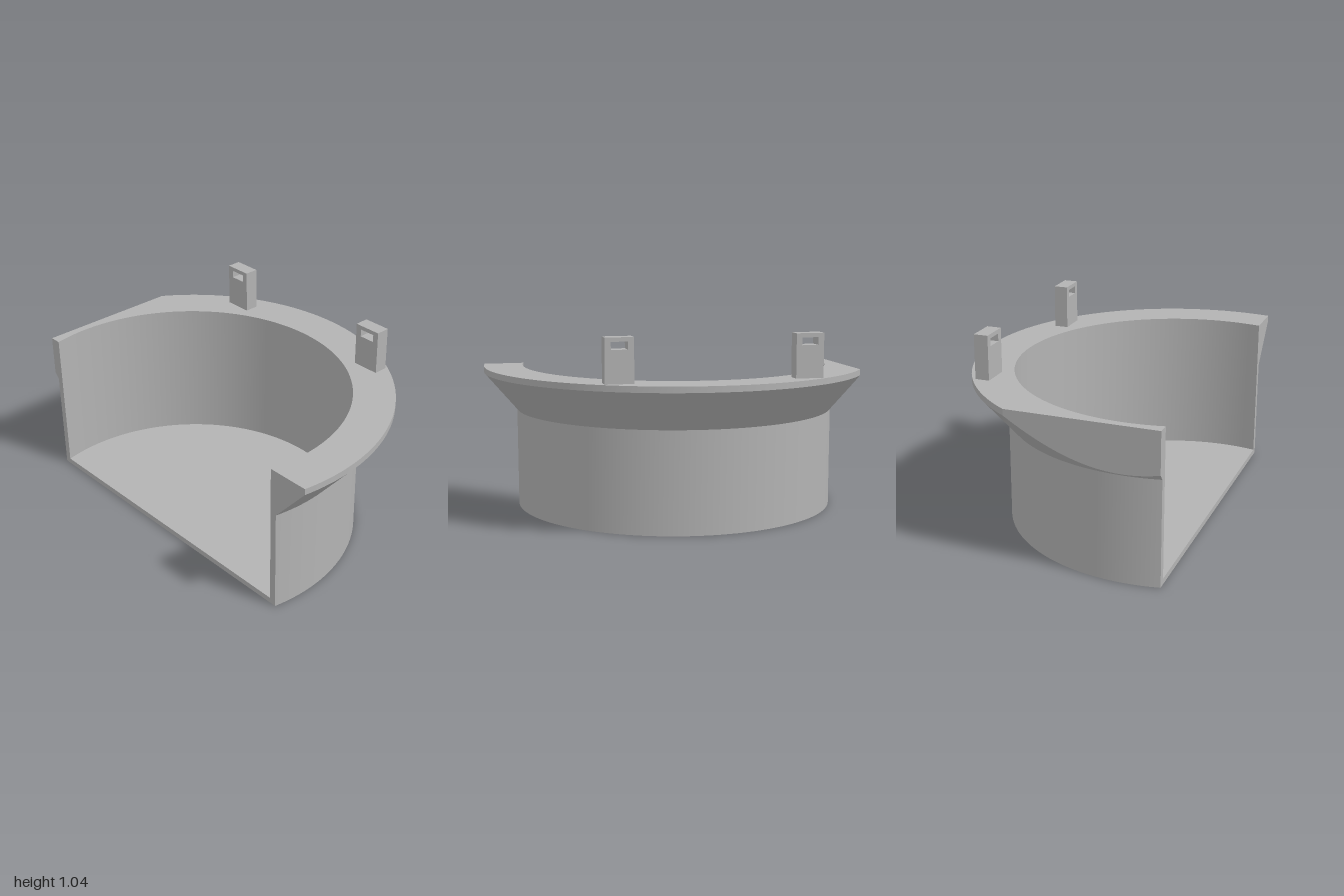
import * as THREE from 'three';
import { toCreasedNormals } from 'three/addons/utils/BufferGeometryUtils.js';

const CX = -0.45, CZ = -0.088;      // axis of the bowl
const CUT_X = -0.19, CUT_Z = -0.912; // flat cuts, relative to the axis
const INNER = 0.87, WALL = 0.905, RIM = 1.088;
const FLOOR = 0.03, CONE_Y = 0.555, RIM_Y = 0.77, TOP = 0.803;

// Section from the floor hub outwards, up the outside, over the rim and back inside
const SECTION = [
  { hub: true, y: 0 }, { r: WALL, y: 0 }, { r: WALL, y: CONE_Y },
  { r: RIM, cone: true }, { r: RIM, y: TOP },
  { r: INNER, y: TOP }, { r: INNER, y: FLOOR }, { hub: true, y: FLOOR },
];

// Point of a section ring; u in -1..0 runs along the back cut, 0..1 along the round rim
function ringPoint(p, u) {
  if (p.hub) return new THREE.Vector3(CX + CUT_X, p.y, CZ);
  const reach = Math.sqrt(p.r * p.r - CUT_X * CUT_X);
  const back = Math.atan2(Math.max(-reach, CUT_Z), CUT_X);
  const corner = Math.asin(CUT_Z / RIM);
  const front = Math.atan2(reach, CUT_X);
  const a = u < 0 ? corner + (back - corner) * -u : corner + (front - corner) * u;
  const r = a < 0 ? Math.min(p.r, CUT_Z / Math.sin(a)) : p.r;
  // the lower rim edge follows the cone, also where the back cut slices it
  const y = p.cone ? CONE_Y + (r - WALL) / (RIM - WALL) * (RIM_Y - CONE_Y) : p.y;
  return new THREE.Vector3(CX + r * Math.cos(a), y, CZ + r * Math.sin(a));
}

function bowlGeometry() {
  const positions = [];
  const tri = (...pts) => pts.forEach((p) => positions.push(p.x, p.y, p.z));
  const us = [];
  for (let i = 0; i < 32; i++) us.push(-1 + i / 32);
  for (let i = 0; i <= 80; i++) us.push(i / 80);
  const rows = us.map((u) => SECTION.map((p) => ringPoint(p, u)));

  // Swept skin
  for (let i = 0; i < rows.length - 1; i++) {
    for (let j = 0; j < SECTION.length - 1; j++) {
      const a = rows[i][j], b = rows[i][j + 1], c = rows[i + 1][j], d = rows[i + 1][j + 1];
      if (!SECTION[j].hub) tri(a, b, c);
      if (!SECTION[j + 1].hub) tri(b, d, c);
    }
  }
  // Flat section faces on the open side, facing -x
  for (const row of [rows[0], rows[rows.length - 1]]) {
    const outline = row.map((p) => new THREE.Vector2(p.z, p.y));
    for (const [i, j, k] of THREE.ShapeUtils.triangulateShape(outline, [])) {
      const turn = outline[j].clone().sub(outline[i]).cross(outline[k].clone().sub(outline[i]));
      if (turn > 0) tri(row[i], row[j], row[k]);
      else tri(row[i], row[k], row[j]);
    }
  }
  const geometry = new THREE.BufferGeometry();
  geometry.setAttribute('position', new THREE.Float32BufferAttribute(positions, 3));
  return toCreasedNormals(geometry, 0.4);
}

const rect = (Type, x0, y0, x1, y1) => new Type([
  new THREE.Vector2(x0, y0), new THREE.Vector2(x1, y0),
  new THREE.Vector2(x1, y1), new THREE.Vector2(x0, y1),
]);

// Upright tab with a slot through it
function tabGeometry() {
  const shape = rect(THREE.Shape, -0.075, TOP, 0.075, 1.037);
  shape.holes.push(rect(THREE.Path, -0.043, 0.975, 0.043, 1.015));
  return new THREE.ExtrudeGeometry(shape, { depth: 0.075, bevelEnabled: false }).rotateY(Math.PI / 2);
}

export function createModel() {
  const group = new THREE.Group();
  group.name = 'halfBowl';
  const grey = new THREE.MeshStandardMaterial({ color: 0xb3b3b3 });
  grey.name = 'grey';

  const bowl = new THREE.Mesh(bowlGeometry(), grey);
  bowl.name = 'flangedBowl';
  group.add(bowl);

  const tab = tabGeometry();
  for (const [name, z] of [['frontTab', 0.415], ['backTab', -0.588]]) {
    const mesh = new THREE.Mesh(tab, grey);
    mesh.name = name;
    mesh.position.set(0.381, 0, z);
    group.add(mesh);
  }
  return group;
}
